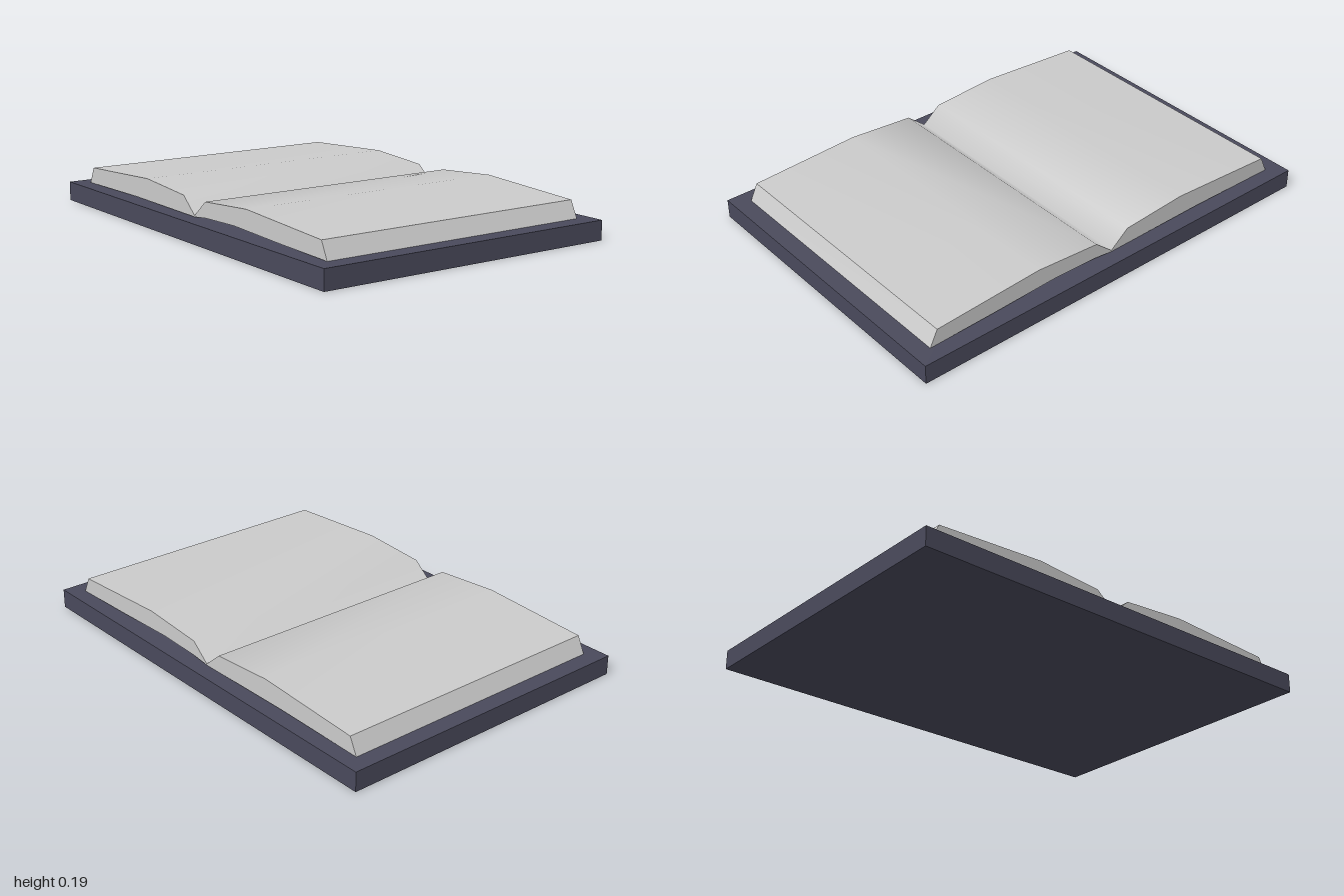
import * as THREE from 'three';
import { toCreasedNormals } from 'three/addons/utils/BufferGeometryUtils.js';

const COVER = { width: 2, height: 0.085, depth: 1.386 };
const PAGE_DEPTH = 1.25;

// Half outlines of the open pages, from the outer edge to the spine
const topHalf = [[0.925, 0.086], [0.89, 0.159], [0.39, 0.186], [0.085, 0.164]];
const bottomHalf = [[0.62, 0.093], [0.3, 0.104], [0.09, 0.097]];
const spineTop = [0, 0.093];
const spineBottom = [0, 0.087];
const mirror = (points) => points.map(([x, y]) => [-x, y]).reverse();

function createPagesGeometry() {
  const outline = [
    ...topHalf, spineTop, ...mirror(topHalf),
    ...mirror(bottomHalf).slice(), spineBottom, ...bottomHalf.slice().reverse(),
  ];
  const shape = new THREE.Shape(outline.map(([x, y]) => new THREE.Vector2(x, y)));
  const extruded = new THREE.ExtrudeGeometry(shape, { depth: PAGE_DEPTH, bevelEnabled: false });
  extruded.translate(0, 0, -PAGE_DEPTH / 2);

  // Smooth page curves, sharp outer edges
  const geometry = toCreasedNormals(extruded, 0.8);

  // Blend the two pages softly where they meet in the valley
  const { position, normal } = geometry.attributes;
  for (let i = 0; i < position.count; i++) {
    if (Math.abs(position.getX(i)) < 1e-4 && normal.getY(i) > 0.3) normal.setXYZ(i, 0, 1, 0);
  }
  return geometry;
}

export function createModel() {
  const book = new THREE.Group();
  book.name = 'openBook';

  // Flat cover board
  const cover = new THREE.Mesh(
    new THREE.BoxGeometry(COVER.width, COVER.height, COVER.depth),
    new THREE.MeshStandardMaterial({ color: 0x4a4a5c })
  );
  cover.name = 'cover';
  cover.position.y = COVER.height / 2;

  // Two bowed page blocks meeting at the spine
  const pages = new THREE.Mesh(
    createPagesGeometry(),
    new THREE.MeshStandardMaterial({ color: 0xcccccc })
  );
  pages.name = 'pages';

  book.add(cover, pages);
  return book;
}
